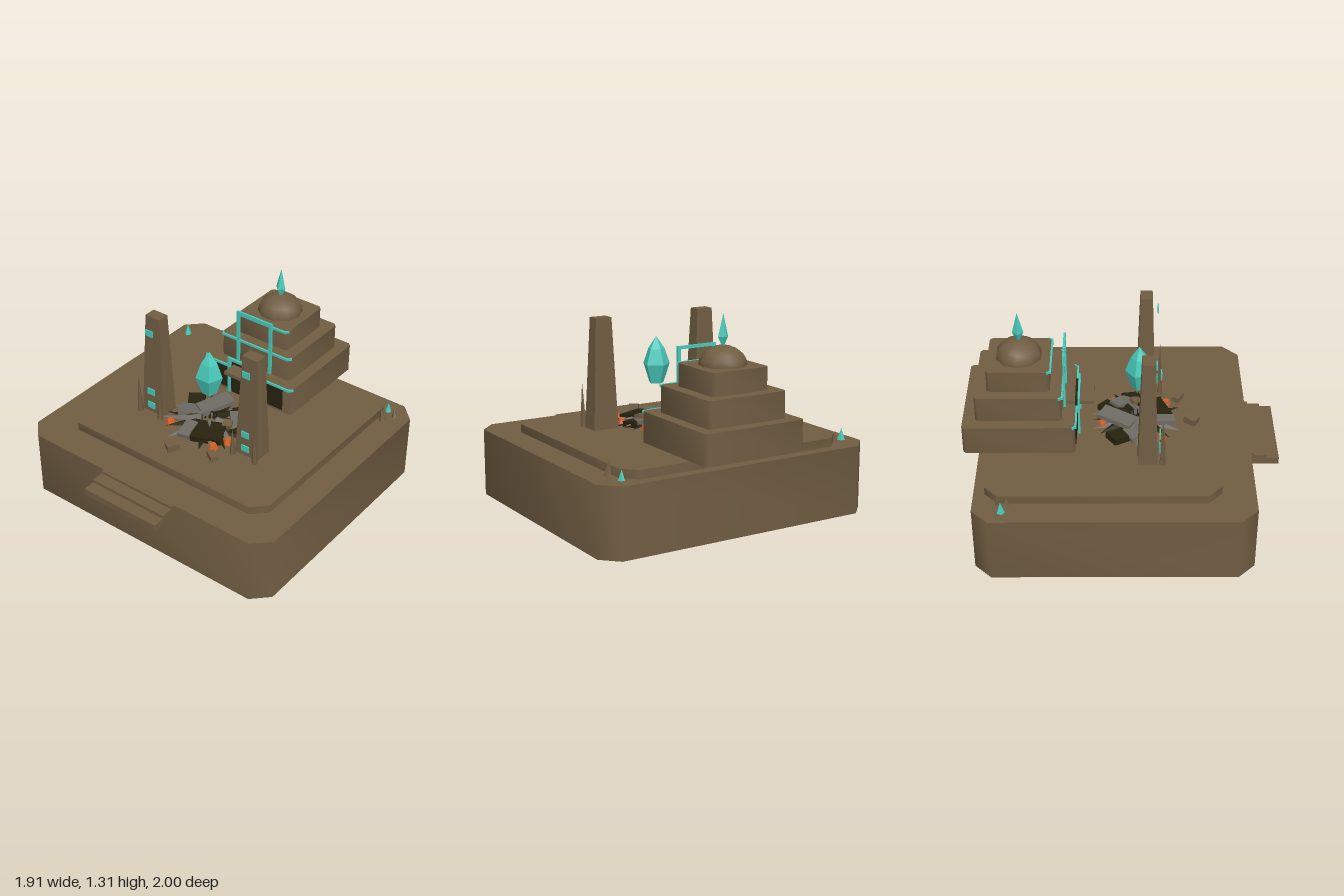
import * as THREE from 'three';
import { toCreasedNormals } from 'three/addons/utils/BufferGeometryUtils.js';

const mat = (name, color) => {
  const m = new THREE.MeshStandardMaterial({ color });
  m.name = name;
  return m;
};

export function createModel() {
  const root = new THREE.Group();
  const stone = mat('brown stone', 0x705d42);
  const teal = mat('teal crystal', 0x48c9ba);
  const dark = mat('dark recess', 0x27220f);
  const grey = mat('grey rubble', 0x6e6a64);
  const ember = mat('orange ember', 0xd65f24);

  const add = (name, geo, m, x = 0, y = 0, z = 0, parent = root) => {
    const mesh = new THREE.Mesh(geo, m);
    mesh.name = name;
    mesh.position.set(x, y, z);
    parent.add(mesh);
    return mesh;
  };
  const box = (name, m, w, h, d, x, y, z, parent) =>
    add(name, new THREE.BoxGeometry(w, h, d), m, x, y, z, parent);
  const flat = (geo) => toCreasedNormals(geo, 0.05);

  // Slab with cut corners, spanning z0..z1 and y0..y1
  const slab = (name, hw, z0, z1, y0, y1, cut) => {
    const hd = (z1 - z0) / 2;
    const s = new THREE.Shape([
      [-hw + cut, -hd], [hw - cut, -hd], [hw, -hd + cut], [hw, hd - cut],
      [hw - cut, hd], [-hw + cut, hd], [-hw, hd - cut], [-hw, -hd + cut],
    ].map(([a, b]) => new THREE.Vector2(a, b)));
    const g = new THREE.ExtrudeGeometry(s, { depth: y1 - y0, bevelEnabled: false });
    g.rotateX(-Math.PI / 2);
    add(name, toCreasedNormals(g, 1), stone, 0, y0, (z0 + z1) / 2);
  };

  // Platform and entry steps
  slab('platformBase', 0.955, -0.91, 0.82, 0, 0.44, 0.105);
  slab('platformTop', 0.78, -0.84, 0.61, 0.44, 0.495, 0.09);
  [[0.355, 0.4, 1.0], [0.4, 0.421, 0.92], [0.421, 0.439, 0.84]].forEach(([a, b, z]) =>
    box('step', stone, 0.565, b - a, z - 0.78, 0, (a + b) / 2, (z + 0.78) / 2));

  // Stepped temple with a teal strip along each front edge
  [[0.353, -1.0, -0.295, 0.495, 0.69], [0.278, -0.92, -0.378, 0.69, 0.858],
    [0.2, -0.845, -0.45, 0.858, 1.0]].forEach(([hw, z0, z1, y0, y1]) => {
    slab('templeTier', hw, z0, z1, y0, y1, 0.02);
    box('tierTrim', teal, hw * 2 - 0.02, 0.015, 0.012, 0, y1 - 0.005, z1 + 0.006);
    for (const s of [-1, 1]) {
      const end = box('trimEnd', teal, 0.028, 0.015, 0.01, s * (hw - 0.008), y1 - 0.005, z1 - 0.008);
      end.rotation.y = s * Math.PI / 4;
    }
  });
  const dome = new THREE.SphereGeometry(0.148, 10, 5, 0, Math.PI * 2, 0, Math.PI / 2);
  dome.scale(1, 0.8, 1);
  add('dome', dome, stone, 0, 1.0, -0.648);

  // Faceted spindle: rows of [radius, height]
  const spindle = (rows, sides) =>
    flat(new THREE.LatheGeometry(rows.map(([r, y]) => new THREE.Vector2(r, y)), sides));
  add('domeSpire', spindle([[0, 0], [0.036, 0.075], [0, 0.215]], 4), teal, 0, 1.095, -0.648);

  // Doorway: dark panels, ledge and two teal frames
  box('wallPanel', dark, 0.57, 0.16, 0.008, 0, 0.595, -0.292);
  box('doorPanel', dark, 0.235, 0.245, 0.02, 0, 0.62, -0.287);
  box('doorLedge', stone, 0.205, 0.024, 0.175, 0, 0.708, -0.263);
  const frame = (name, w, y0, y1, z) => {
    const g = new THREE.Group();
    g.name = name;
    root.add(g);
    for (const s of [-1, 1]) box('framePost', teal, 0.022, y1 - y0, 0.014, s * (w - 0.011), (y0 + y1) / 2, z, g);
    box('frameLintel', teal, w * 2, 0.02, 0.014, 0, y1 - 0.01, z, g);
  };
  frame('doorFrame', 0.146, 0.495, 0.765, -0.274);
  frame('upperFrame', 0.14, 0.7, 1.08, -0.363);

  // Tapered pylons with floating plates and slim thorns at the foot
  for (const s of [-1, 1]) {
    const pylon = new THREE.Group();
    pylon.name = s > 0 ? 'leftPylon' : 'rightPylon';
    pylon.position.set(s * 0.38, 0.495, 0.16);
    root.add(pylon);
    const g = new THREE.BoxGeometry(0.175, 0.715, 0.124);
    const p = g.attributes.position;
    for (let i = 0; i < p.count; i++) {
      if (p.getY(i) > 0) p.setXYZ(i, p.getX(i) * 0.64, p.getY(i), p.getZ(i) * 0.64);
    }
    g.computeVertexNormals();
    add('pylonShaft', g, stone, 0, 0.3575, 0, pylon);
    for (const y of [1.11, 0.665, 0.56])
      box('glowPlate', teal, 0.056, 0.044, 0.008, 0, y - 0.495, 0.076, pylon);
    for (const [x, h] of [[0.085, 0.29], [-0.083, 0.2]]) {
      const thorn = add('thorn', flat(new THREE.ConeGeometry(0.021, h, 5)), stone, s * x, h / 2, 0.095, pylon);
      thorn.rotation.x = 0.04;
    }
  }

  // Floating five-sided crystal
  const crystal = add('floatingCrystal',
    spindle([[0, 0], [0.048, 0], [0.09, 0.125], [0.055, 0.225], [0, 0.305]], 5), teal, 0, 0.757, 0.11);
  crystal.rotation.y = Math.PI;

  // Rubble ring: pointed shards fanning out from the middle
  const rubble = new THREE.Group();
  rubble.name = 'rubble';
  rubble.position.set(-0.01, 0.495, 0.1);
  root.add(rubble);
  let seed = 7;
  const rnd = () => (seed = (seed * 16807) % 2147483647) / 2147483647;
  for (let i = 0; i < 22; i++) {
    const len = 0.18 + rnd() * 0.1;
    const g = new THREE.ConeGeometry(0.045 + rnd() * 0.025, len, 4);
    g.scale(1, 1, 0.45);
    g.rotateX(Math.PI / 2);
    g.translate(0, 0, len / 2 + 0.05);
    const shard = add('shard', flat(g), i % 2 ? dark : grey, 0, 0.03 + rnd() * 0.025, 0, rubble);
    shard.rotation.set(0.08, i / 22 * Math.PI * 2 + rnd() * 0.2, 0, 'YXZ');
  }

  // Larger broken slabs: [material, w, h, d, x, y, z, yaw, tilt]
  [
    [grey, 0.12, 0.03, 0.23, -0.06, 0.56, -0.03, -0.45, 0.12],
    [grey, 0.13, 0.03, 0.13, -0.18, 0.53, 0.09, 0.5, -0.15],
    [grey, 0.09, 0.03, 0.16, 0.15, 0.535, 0.01, 0.7, 0.15],
    [grey, 0.08, 0.03, 0.14, -0.05, 0.535, 0.27, 0.2, 0.15],
    [dark, 0.11, 0.04, 0.13, -0.21, 0.52, -0.02, 0.6, 0.1],
    [dark, 0.2, 0.04, 0.17, 0.07, 0.53, 0.21, 0.4, 0.1],
    [dark, 0.1, 0.04, 0.1, 0.2, 0.52, 0.06, 0.3, 0.1],
    [dark, 0.1, 0.035, 0.1, 0.11, 0.52, -0.09, 0.9, 0.1],
    [stone, 0.065, 0.045, 0.08, -0.03, 0.52, 0.45, -0.6, 0.1],
    [stone, 0.08, 0.035, 0.05, 0.23, 0.513, 0.37, -0.55, 0],
    [stone, 0.06, 0.035, 0.06, 0.13, 0.55, 0.09, 0.4, 0.2],
  ].forEach(([m, w, h, d, x, y, z, yaw, tilt]) =>
    box('brokenSlab', m, w, h, d, x, y, z).rotation.set(tilt, yaw, 0, 'YXZ'));

  // Glowing embers
  [[-0.06, -0.125], [0.18, -0.055], [0.21, 0.19], [0.17, 0.29], [-0.21, 0.25], [-0.1, 0.185]].forEach(([x, z]) =>
    add('ember', flat(new THREE.CylinderGeometry(0.022, 0.034, 0.034, 6)), ember, x, 0.514, z));

  // Corner sprouts: [material, x, z, radius, base height, height, lean]
  [
    [teal, -0.86, -0.73, 0.026, 0.44, 0.075, 0], [teal, 0.79, -0.8, 0.022, 0.44, 0.065, 0],
    [stone, -0.79, -0.755, 0.018, 0.44, 0.07, 0.2], [stone, -0.785, -0.7, 0.018, 0.44, 0.06, -0.2],
    [stone, 0.81, -0.685, 0.026, 0.44, 0.1, 0.15], [stone, 0.855, -0.77, 0.024, 0.44, 0.055, 0.2],
  ].forEach(([m, x, z, r, y, h, lean]) => {
    add('cornerSprout', flat(new THREE.ConeGeometry(r, h, 5)), m, x, y + h / 2, z).rotation.z = lean;
  });

  return root;
}
